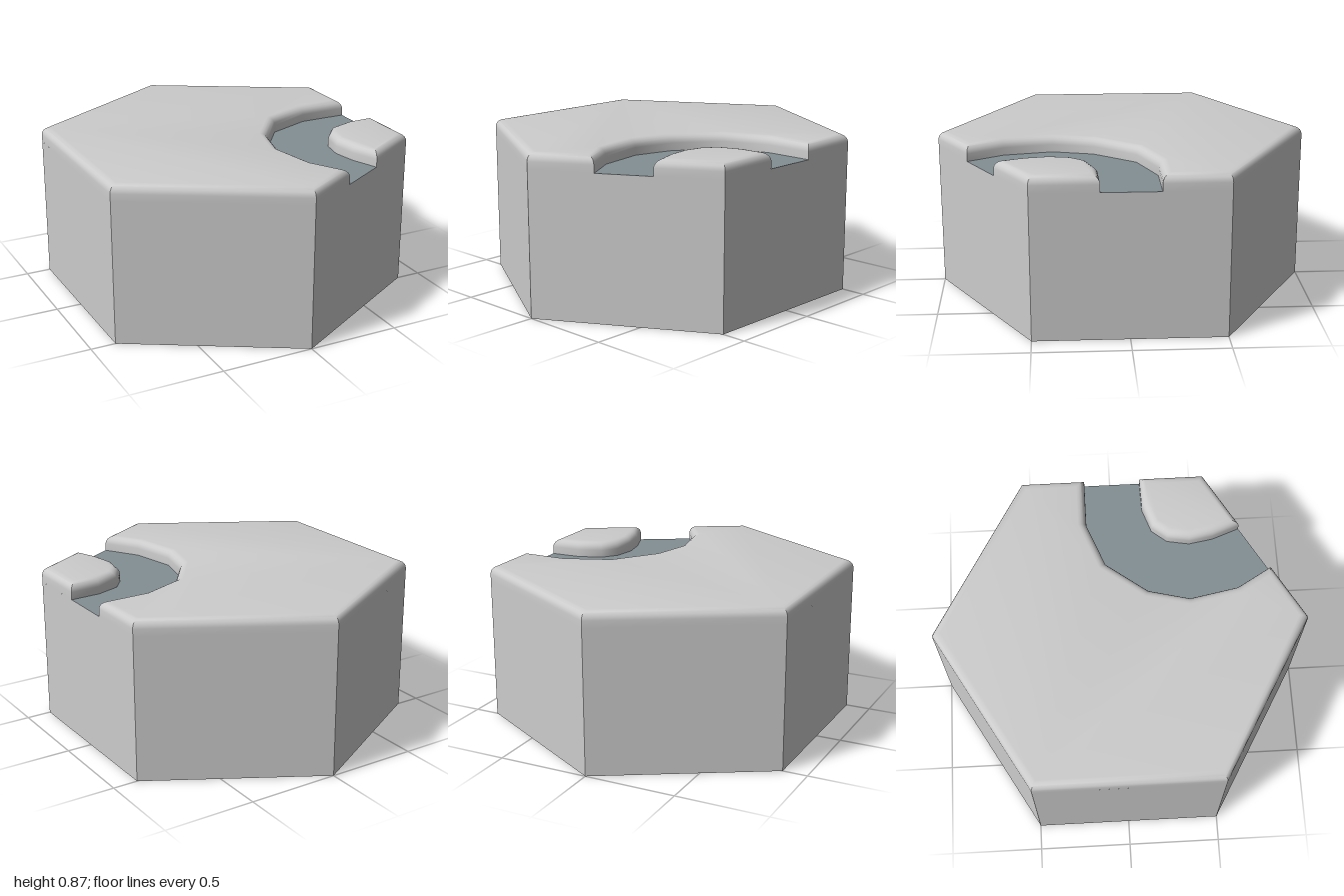
import * as THREE from 'three';
import { toCreasedNormals } from 'three/addons/utils/BufferGeometryUtils.js';

const ROAD_Y = 0.78, TOP_Y = 0.866, BEVEL = 0.045, APOTHEM = 0.866;

// Plan points are [x, z]; shapes use y = -z so they run counter-clockwise from above
function toPlan(points) {
  const plan = points.map(([x, z]) => new THREE.Vector2(x, -z));
  return THREE.ShapeUtils.isClockWise(plan) ? plan.reverse() : plan;
}

// Move every edge of the outline inwards by d, with mitred corners
function inset(plan, d) {
  const n = plan.length;
  return plan.map((p, i) => {
    const a = p.clone().sub(plan[(i + n - 1) % n]).normalize();
    const b = plan[(i + 1) % n].clone().sub(p).normalize();
    const na = new THREE.Vector2(-a.y, a.x), nb = new THREE.Vector2(-b.y, b.x);
    const k = d / (1 + na.dot(nb));
    return p.clone().addScaledVector(na.add(nb), k);
  });
}

// Raised ground: upright wall, rounded rim and flat top above an outline
function raisedGround(points) {
  const plan = toPlan(points), n = plan.length, steps = 5;
  const rings = [plan.map(p => [p.x, ROAD_Y, -p.y])];
  for (let s = 0; s <= steps; s++) {
    const t = (s / steps) * Math.PI / 2;
    const y = TOP_Y - BEVEL + BEVEL * Math.sin(t);
    rings.push(inset(plan, BEVEL * (1 - Math.cos(t))).map(p => [p.x, y, -p.y]));
  }
  const pos = [];
  for (let r = 0; r < rings.length - 1; r++) {
    for (let i = 0; i < n; i++) {
      const j = (i + 1) % n, lo = rings[r], hi = rings[r + 1];
      pos.push(...lo[i], ...lo[j], ...hi[j], ...lo[i], ...hi[j], ...hi[i]);
    }
  }
  const top = rings[rings.length - 1];
  for (const tri of THREE.ShapeUtils.triangulateShape(inset(plan, BEVEL), [])) {
    tri.forEach(i => pos.push(...top[i]));
  }
  const geo = new THREE.BufferGeometry();
  geo.setAttribute('position', new THREE.Float32BufferAttribute(pos, 3));
  return toCreasedNormals(geo, 0.7);
}

export function createModel() {
  const group = new THREE.Group();
  const grey = new THREE.MeshStandardMaterial({ color: 0xcccccc });
  const flatGrey = new THREE.MeshStandardMaterial({ color: 0xcccccc, flatShading: true });
  const roadGrey = new THREE.MeshStandardMaterial({ color: 0x838f94 });
  const add = (name, geo, mat) => {
    const mesh = new THREE.Mesh(geo, mat);
    mesh.name = name;
    group.add(mesh);
    return mesh;
  };

  // Both sides of the curved road, from the right edge to the front right edge
  const outer = [[APOTHEM, -0.155], [0.6, -0.155], [0.36, -0.06], [0.195, 0.16],
    [0.14, 0.38], [0.19, 0.64], [0.3, 0.827]];
  const inner = [[APOTHEM, 0.15], [0.7, 0.155], [0.57, 0.2], [0.505, 0.28],
    [0.483, 0.4], [0.505, 0.53], [0.56, 0.677]];

  // Hexagonal block below the road level
  add('baseWalls', new THREE.CylinderGeometry(1, 1, ROAD_Y, 6, 1, true), flatGrey)
    .position.y = ROAD_Y / 2;
  const hex = [[0, 1], [-APOTHEM, 0.5], [-APOTHEM, -0.5], [0, -1], [APOTHEM, -0.5], [APOTHEM, 0.5]];
  add('baseBottom', new THREE.ShapeGeometry(new THREE.Shape(toPlan(hex))), flatGrey)
    .rotation.x = Math.PI / 2;

  // Sunken road
  const road = add('road', new THREE.ShapeGeometry(
    new THREE.Shape(toPlan([...outer, ...[...inner].reverse()]))), roadGrey);
  road.rotation.x = -Math.PI / 2;
  road.position.y = ROAD_Y;

  // Ground on either side of the road
  add('mainGround', raisedGround([...outer, ...hex.slice(0, 5)]), grey);
  add('cornerGround', raisedGround([...inner, hex[5]]), grey);
  return group;
}
